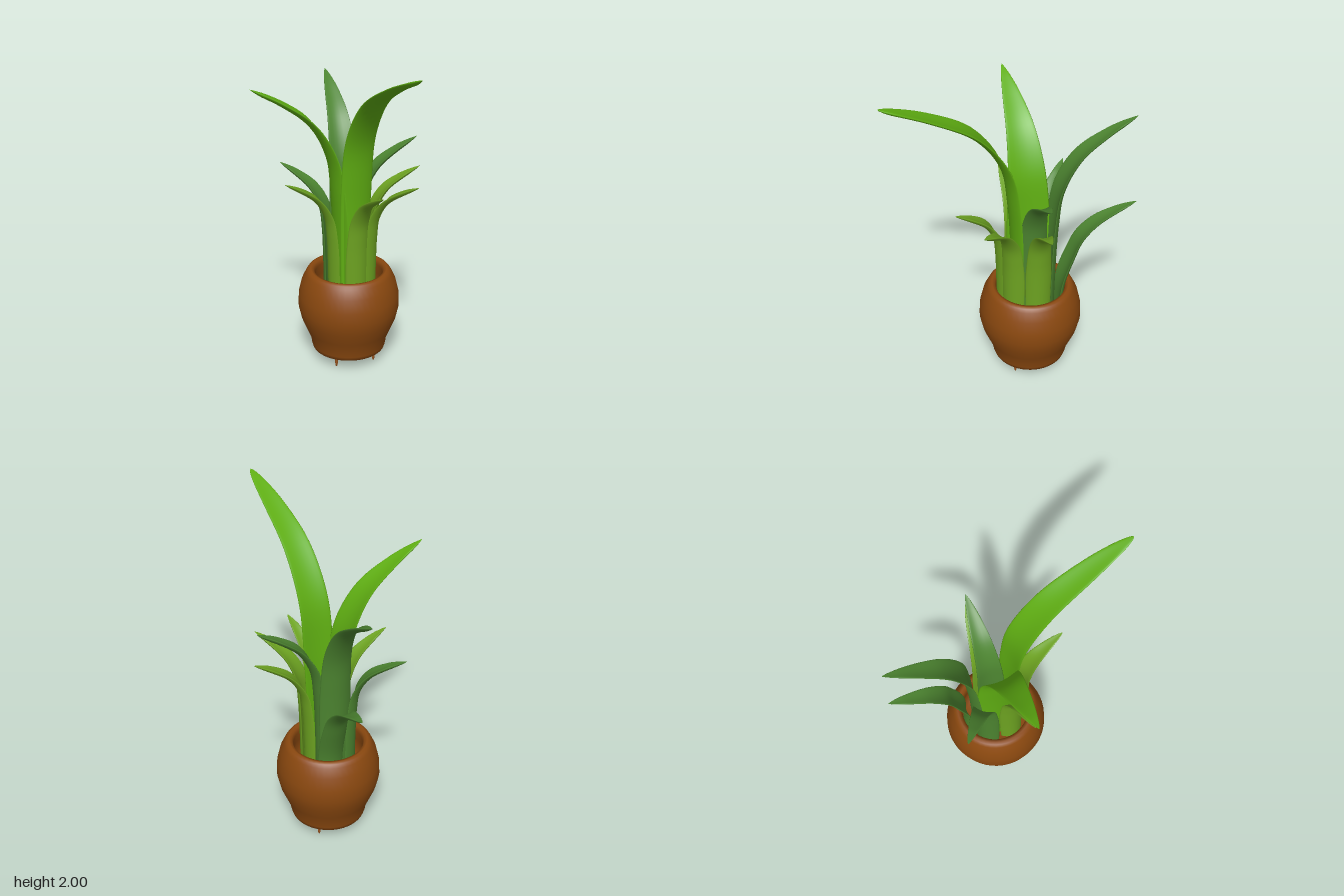
import * as THREE from 'three';

const CX = 0.07, CZ = -0.12; // pot axis
const UP = new THREE.Vector3(0, 1, 0);
const BRIGHT = 0x5fae12, LIME = 0x6da321, DEEP = 0x4c8430;

// Arching leaf: [share of outward reach, share of drop below the tip]
const ARCH = [[0, 1.3], [0, 1], [0.03, 0.6], [0.1, 0.38], [0.32, 0.2], [0.65, 0.085], [1, 0]];

function leafGeometry({ base, tip, width, blunt = 2.2, lean = 0, sag = 0.18 }) {
  const rise = tip[1] - 0.6;
  const path = new THREE.CatmullRomCurve3(ARCH.map(([f, h]) => {
    const g = h > 1 ? 0 : THREE.MathUtils.lerp(f, 1 - h, lean);
    return new THREE.Vector3(
      THREE.MathUtils.lerp(base[0], tip[0], g),
      h > 1 ? 0.32 : tip[1] - rise * h,
      THREE.MathUtils.lerp(base[1], tip[2], g));
  }));
  const outward = new THREE.Vector3(tip[0] - base[0], 0, tip[2] - base[1]).normalize();
  const side = new THREE.Vector3().crossVectors(UP, outward);
  const rows = 44, ring = 20, pos = [], index = [];
  for (let i = 0; i <= rows; i++) {
    const t = 1 - Math.pow(1 - i / rows, 1.4); // denser rows at the tip
    const p = path.getPointAt(t);
    const normal = new THREE.Vector3().crossVectors(path.getTangentAt(t), side);
    const taper = Math.pow(Math.max(0, 1 - Math.pow(t, blunt)), blunt > 3 ? 0.6 : 0.75);
    const w = width * Math.max(0.01, taper) * (0.85 + 0.15 * Math.min(1, t * 2.5));
    // thin ellipse, bent into a gutter that opens inwards
    for (let k = 0; k < ring; k++) {
      const a = k / ring * Math.PI * 2, u = Math.cos(a);
      const n = sag * w * (u * u - 0.5) + Math.sin(a) * Math.min(0.011, w * 0.2);
      const v = p.clone().addScaledVector(side, u * w / 2).addScaledVector(normal, n);
      pos.push(v.x, v.y, v.z);
      if (i < rows) {
        const A = i * ring + k, B = i * ring + (k + 1) % ring;
        index.push(A, B, B + ring, A, B + ring, A + ring);
      }
    }
  }
  // close the tip
  const end = path.getPointAt(1), last = rows * ring;
  pos.push(end.x, end.y, end.z);
  for (let k = 0; k < ring; k++) index.push(last + k, last + (k + 1) % ring, last + ring);
  const geo = new THREE.BufferGeometry();
  geo.setAttribute('position', new THREE.Float32BufferAttribute(pos, 3));
  geo.setIndex(index);
  geo.computeVertexNormals();
  return geo;
}

export function createModel() {
  const group = new THREE.Group();
  const add = (name, geo, color) => {
    const mesh = new THREE.Mesh(geo, new THREE.MeshStandardMaterial({ color }));
    mesh.name = name;
    group.add(mesh);
    return mesh;
  };

  // Pot: foot, belly, rolled rim and hollow inside, in one turned profile
  const profile = [
    [0, 0.06], [0.15, 0.06], [0.2, 0.063], [0.222, 0.075], [0.23, 0.1], [0.236, 0.14],
    [0.26, 0.2], [0.292, 0.28], [0.31, 0.36], [0.307, 0.44], [0.288, 0.52], [0.262, 0.575],
    [0.248, 0.594], [0.232, 0.601], [0.215, 0.596], [0.205, 0.57], [0.215, 0.5],
    [0.225, 0.42], [0.2, 0.36], [0.1, 0.34], [0, 0.34],
  ].map(([r, y]) => new THREE.Vector2(r, y));
  add('pot', new THREE.LatheGeometry(profile, 48), 0x8a480f).position.set(CX, 0, CZ);

  // Four small pointed feet
  const foot = [[0, 0], [0.005, 0.004], [0.009, 0.025], [0.01, 0.075]]
    .map(([r, y]) => new THREE.Vector2(r, y));
  for (const sx of [-1, 1]) for (const sz of [-1, 1]) {
    add('foot', new THREE.LatheGeometry(foot, 12), 0x9a5520)
      .position.set(CX + sx * 0.12, 0, CZ + sz * 0.127);
  }

  // Tall inner leaves: base is [x, z], tip is [x, y, z]
  const inner = [
    { base: [0.08, -0.03], tip: [0.165, 2, 0.73], width: 0.2, blunt: 4, sag: 0.1, color: BRIGHT },
    { base: [0.01, -0.12], tip: [-0.51, 1.78, -0.11], width: 0.3, sag: 0.12, color: BRIGHT },
    { base: [0.08, -0.24], tip: [0.11, 1.69, -0.72], width: 0.2, blunt: 3, color: DEEP },
    { base: [0.12, -0.12], tip: [0.485, 1.41, -0.1], width: 0.18, blunt: 3, color: DEEP },
  ];
  // Short outer leaves
  const outer = [
    { base: [0.2, -0.13], tip: [0.51, 1.22, -0.1], color: LIME },
    { base: [0.16, 0.02], tip: [0.37, 1.22, 0.24], color: LIME },
    { base: [0.07, 0.06], tip: [0.12, 1.22, 0.34], color: LIME },
    { base: [-0.05, -0.06], tip: [-0.34, 1.22, -0.04], color: LIME },
    { base: [-0.03, -0.22], tip: [-0.27, 1.22, -0.42], color: DEEP },
    { base: [0.13, -0.29], tip: [0.16, 1.14, -0.73], lean: 0.3, color: DEEP },
  ];
  for (const leaf of inner) add('innerLeaf', leafGeometry(leaf), leaf.color);
  for (const leaf of outer) {
    add('outerLeaf', leafGeometry({ width: 0.165, blunt: 2.8, ...leaf }), leaf.color);
  }
  return group;
}
